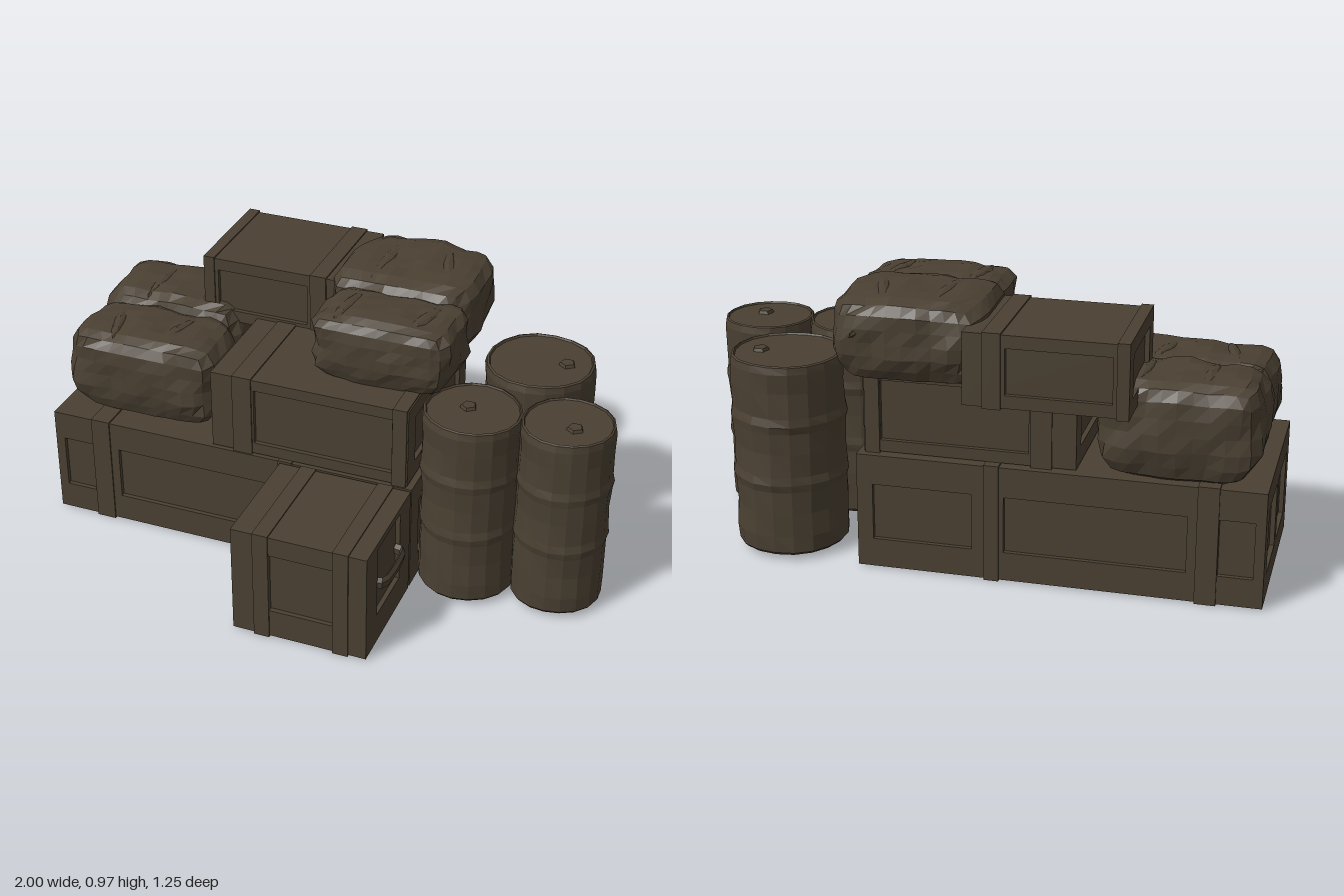
import * as THREE from 'three';

const canvasBrown = new THREE.MeshStandardMaterial({ color: 0x4a4032, flatShading: true, side: THREE.DoubleSide });
canvasBrown.name = 'dull brown';

function add(parent, geometry, name, x = 0, y = 0, z = 0) {
  const mesh = new THREE.Mesh(geometry, canvasBrown);
  mesh.name = name;
  mesh.position.set(x, y, z);
  parent.add(mesh);
  return mesh;
}

// Board with rectangular recesses, given as [u0, u1, v0, v1] fractions of its size
function facePlate(w, h, t, holes) {
  const rect = (P, a, b, c, d) => new P().moveTo(a, c).lineTo(b, c).lineTo(b, d).lineTo(a, d).closePath();
  const shape = rect(THREE.Shape, -w / 2, w / 2, -h / 2, h / 2);
  for (const [a, b, c, d] of holes) {
    shape.holes.push(rect(THREE.Path, (a - 0.5) * w, (b - 0.5) * w, (c - 0.5) * h, (d - 0.5) * h));
  }
  return new THREE.ExtrudeGeometry(shape, { depth: t, bevelEnabled: false });
}

// Crate from min/max corners: core, recessed face boards, plain lid and proud bands at the given x
function crate(name, [x0, x1], [y0, y1], [z0, z1], { front, end, bottom, bands }) {
  const g = new THREE.Group();
  g.name = name;
  g.position.set((x0 + x1) / 2, (y0 + y1) / 2, (z0 + z1) / 2);
  const t = 0.016, lip = 0.005;
  const w = x1 - x0 - lip * 2, h = y1 - y0 - lip * 2, d = z1 - z0 - lip * 2;
  add(g, new THREE.BoxGeometry(w - 2 * t, h - 2 * t, d - 2 * t), 'crateCore');
  const mirrored = front.map(([a, b, c, e]) => [1 - b, 1 - a, c, e]);
  add(g, facePlate(w, h, t, front), 'frontBoards', 0, 0, d / 2 - t);
  add(g, facePlate(w, h, t, mirrored), 'backBoards', 0, 0, -d / 2 + t).rotation.y = Math.PI;
  for (const s of [-1, 1]) {
    add(g, facePlate(d, h, t, end), 'endBoards', s * (w / 2 - t)).rotation.y = s * Math.PI / 2;
    add(g, facePlate(w, d, t, s > 0 ? [] : bottom), s > 0 ? 'lidBoards' : 'bottomBoards', 0, s * (h / 2 - t)).rotation.x = -s * Math.PI / 2;
  }
  // Bands hug the crate on all four long faces
  for (const [bx, bw] of bands) {
    for (const s of [-1, 1]) {
      add(g, new THREE.BoxGeometry(bw, 0.02, d + 2 * lip), 'band', bx - g.position.x, s * (h / 2 + lip - 0.01));
      add(g, new THREE.BoxGeometry(bw, h + 2 * lip, 0.02), 'band', bx - g.position.x, 0, s * (d / 2 + lip - 0.01));
    }
  }
  return g;
}

// Soft bag: a rounded box with large dents, narrower at the base and pinched where straps cross it
function bag(name, [x0, x1], [y0, y1], [z0, z1], seed, straps) {
  const size = new THREE.Vector3(x1 - x0, y1 - y0, z1 - z0);
  const geo = new THREE.BoxGeometry(2, 2, 2, 10, 6, 6);
  const p = geo.attributes.position, v = new THREE.Vector3();
  for (let i = 0; i < p.count; i++) {
    v.fromBufferAttribute(p, i);
    v.divideScalar(Math.pow(Math.abs(v.x) ** 5 + Math.abs(v.y) ** 5 + Math.abs(v.z) ** 5, 1 / 5));
    const { x, y, z } = v;
    let k = 0.965 + 0.03 * Math.sin(4 * x + 3 * y + seed) * Math.cos(3 * z - 2 * y + seed * 2)
      + 0.025 * Math.sin(9 * x - 4 * z + seed * 3) * Math.sin(5 * y + 3 * z + seed);
    for (const s of straps) k -= 0.045 * Math.exp(-(((x - s) / 0.12) ** 2));
    const waist = k * (y < -0.6 ? 0.95 : 1);
    p.setXYZ(i, x * waist * size.x / 2, y * (y < -0.8 ? 1 : k) * size.y / 2, z * waist * size.z / 2);
  }
  const g = new THREE.Group();
  g.name = name;
  g.position.set((x0 + x1) / 2, (y0 + y1) / 2, (z0 + z1) / 2);
  add(g, geo, 'bagBody');
  // Puckered folds along the top
  for (const s of straps) {
    const fold = add(g, new THREE.IcosahedronGeometry(1, 1), 'bagFold', s * size.x / 2, size.y * 0.38, 0);
    fold.scale.set(0.03, size.y * 0.11, size.z * 0.4);
    fold.rotation.y = 0.3 * Math.sin(seed + s * 5);
  }
  return g;
}

// Battered drum with soft ribs, shallow ends and a bung
function barrel(name, x, z, r, bx, bz, seed) {
  const g = new THREE.Group();
  const h = 0.675;
  g.name = name;
  g.position.set(x, 0.03, z);
  const profile = [[0, 0.008], [0.9, 0.008], [0.92, 0], [0.97, 0.015], [0.98, 0.1], [0.965, 0.22], [0.97, 0.34], [1, 0.38],
    [0.97, 0.42], [0.96, 0.54], [0.97, 0.65], [1, 0.69], [0.97, 0.73], [0.965, 0.86], [0.98, 0.96], [0.96, 0.995],
    [0.92, 1], [0.9, 0.99], [0, 0.99]].map(([a, b]) => new THREE.Vector2(a * r, b * h));
  const geo = new THREE.LatheGeometry(profile, 18);
  const p = geo.attributes.position;
  for (let i = 0; i < p.count; i++) {
    const px = p.getX(i), py = p.getY(i), pz = p.getZ(i);
    const dent = 1 + 0.025 * Math.sin(px * 18 + py * 23 + seed) * Math.cos(pz * 16 - py * 15 + seed);
    p.setXYZ(i, px * dent, py, pz * dent);
  }
  add(g, geo, 'drum');
  add(g, new THREE.CylinderGeometry(0.025, 0.032, 0.016, 5), 'bung', bx, h - 0.004, bz);
  return g;
}

export function createModel() {
  const model = new THREE.Group();
  model.name = 'supplyPile';

  // Crates
  model.add(
    crate('longCrate', [-1, 0.365], [0.01, 0.42], [-0.47, 0.2], {
      front: [[0.025, 0.11, 0.25, 0.74], [0.185, 0.63, 0.25, 0.74], [0.71, 0.96, 0.25, 0.74]],
      end: [[0.12, 0.46, 0.22, 0.78], [0.54, 0.88, 0.22, 0.78]],
      bottom: [[0.185, 0.63, 0.12, 0.88], [0.71, 0.96, 0.12, 0.88]],
      bands: [[-0.81, 0.07], [-0.1, 0.05]],
    }),
    crate('middleCrate', [-0.38, 0.345], [0.415, 0.715], [-0.44, 0.19], {
      front: [[0.22, 0.92, 0.14, 0.86]],
      end: [[0.12, 0.88, 0.2, 0.8]],
      bottom: [],
      bands: [[-0.26, 0.07], [0.31, 0.05]],
    }),
    crate('topCrate', [-0.58, -0.04], [0.675, 0.925], [-0.62, -0.21], {
      front: [[0.1, 0.74, 0.18, 0.82]],
      end: [[0.15, 0.85, 0.2, 0.8]],
      bottom: [],
      bands: [[-0.555, 0.04], [-0.14, 0.06]],
    }),
    crate('smallCrate', [-0.12, 0.365], [0.01, 0.42], [0.2, 0.625], {
      front: [[0.2, 0.8, 0.26, 0.82]],
      end: [[0.24, 0.76, 0.28, 0.94]],
      bottom: [[0.2, 0.8, 0.15, 0.85]],
      bands: [[-0.01, 0.055], [0.27, 0.055]],
    }),
  );

  // Handles on the small crate
  for (const s of [-1, 1]) {
    const cx = 0.1225;
    const points = [[0.225, 0.31], [0.256, 0.32], [0.262, 0.41], [0.256, 0.5], [0.225, 0.51]]
      .map(([a, z]) => new THREE.Vector3(cx + s * a, 0, z));
    const handle = add(model, new THREE.TubeGeometry(new THREE.CatmullRomCurve3(points, false, 'catmullrom', 0.2), 10, 0.011, 5), 'crateHandle', 0, 0.25, 0);
    handle.scale.y = 2;
  }

  // Barrels
  model.add(
    barrel('backBarrel', 0.645, -0.315, 0.197, 0.09, -0.01, 1),
    barrel('innerBarrel', 0.525, 0.07, 0.172, -0.02, -0.01, 2.4),
    barrel('outerBarrel', 0.838, 0.035, 0.162, 0.03, 0.03, 4),
  );

  // Bags
  model.add(
    bag('rearSack', [-0.98, -0.42], [0.41, 0.76], [-0.49, -0.14], 1.3, [-0.3, 0.45]),
    bag('frontSack', [-0.98, -0.39], [0.41, 0.735], [-0.19, 0.15], 3.1, [-0.45, 0.3]),
    bag('topPack', [-0.1, 0.43], [0.695, 0.985], [-0.585, -0.14], 5.2, [-0.35, 0.45]),
    bag('topRoll', [-0.075, 0.445], [0.695, 0.955], [-0.2, 0.1], 2.2, [-0.55, 0.5]),
  );

  // Loose tie end at the back of the pack
  const tie = add(model, new THREE.ConeGeometry(0.025, 0.1, 4), 'looseTie', 0.32, 0.87, -0.57);
  tie.rotation.x = -Math.PI / 2;
  return model;
}
